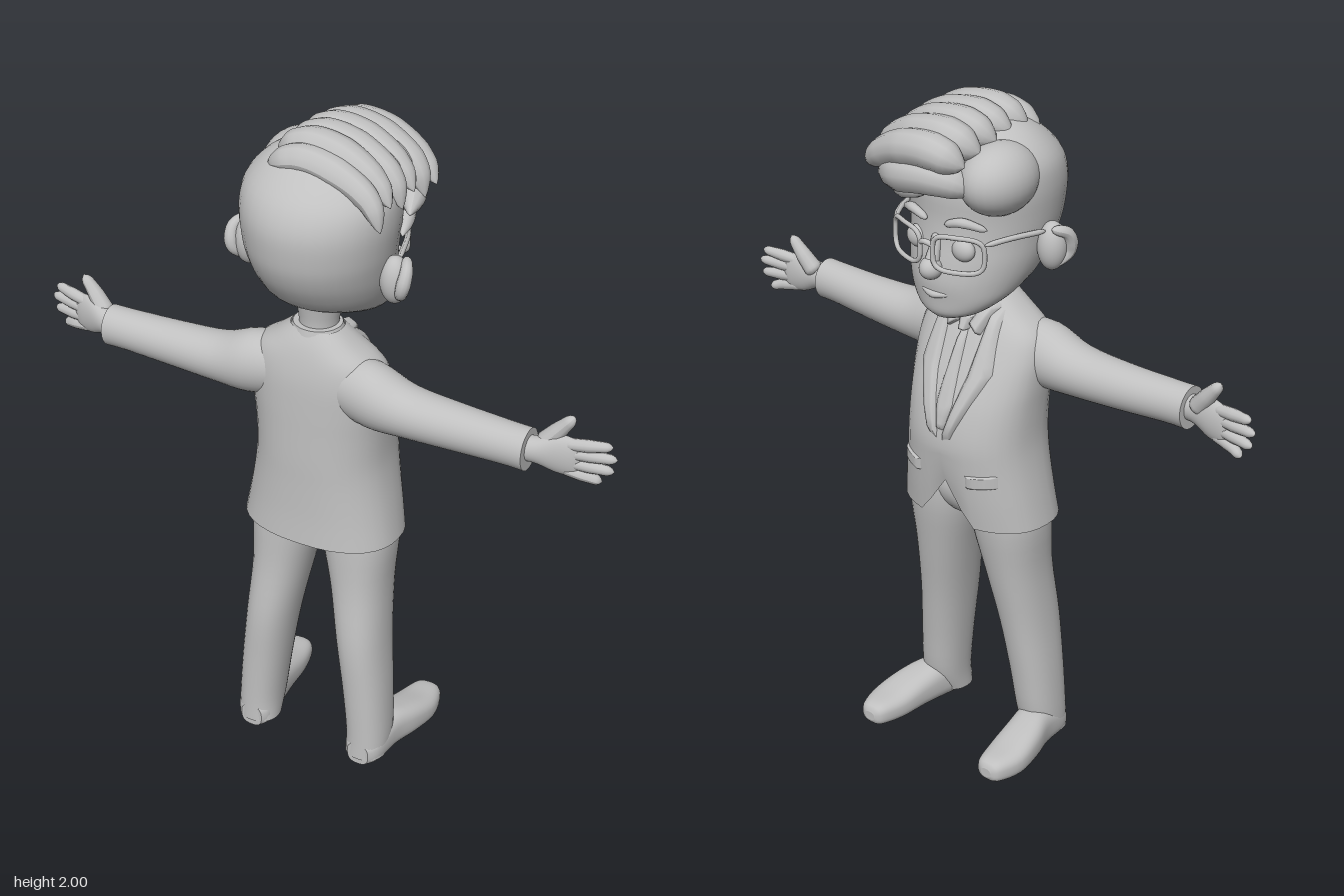
import * as THREE from 'three';

const grey = new THREE.MeshStandardMaterial({ color: 0xc0c0c0, side: THREE.DoubleSide });
grey.name = 'plain grey';

const named = (geo, name) => {
  const m = new THREE.Mesh(geo, grey);
  m.name = name;
  return m;
};

// Rounds off a list of cross-sections with extra in-between rows.
function refine(rows, n = 4) {
  const out = [];
  for (let i = 0; i < rows.length - 1; i++) {
    const p = [rows[Math.max(0, i - 1)], rows[i], rows[i + 1], rows[Math.min(rows.length - 1, i + 2)]];
    for (let k = 0; k < n; k++) {
      const t = k / n;
      out.push(rows[i].map((_, c) => {
        const [a, b, d, e] = p.map(r => r[c]);
        return b + 0.5 * t * (d - a + t * (2 * a - 5 * b + 4 * d - e + t * (3 * (b - d) + e - a)));
      }));
    }
  }
  out.push(rows[rows.length - 1]);
  return out;
}

function gridGeometry(pts, rows, cols, closed) {
  const index = [];
  const span = closed ? cols : cols - 1;
  for (let i = 0; i < rows - 1; i++) for (let j = 0; j < span; j++) {
    const a = i * cols + j, c = i * cols + (j + 1) % cols;
    index.push(a, a + cols, c, c, a + cols, c + cols);
  }
  const g = new THREE.BufferGeometry();
  g.setAttribute('position', new THREE.Float32BufferAttribute(pts.flat(), 3));
  g.setIndex(index);
  return g;
}

// Skin over superellipse rows [t, centreA, radiusA, centreB, radiusB] along an axis.
function loft(rows, axis = 'y', e = 1, capped = true) {
  const N = 36, pts = [];
  const rs = refine(rows);
  if (capped) {
    const a = rs[0], b = rs[rs.length - 1];
    rs.unshift([a[0], a[1], 0, a[3], 0], a);
    rs.push(b, [b[0], b[1], 0, b[3], 0]);
  }
  const pw = v => Math.sign(v) * Math.abs(v) ** e;
  for (const [t, ca, ra, cb, rb] of rs) for (let j = 0; j < N; j++) {
    const th = j / N * Math.PI * 2;
    const a = ca + ra * pw(Math.cos(th)), b = cb + rb * pw(Math.sin(th));
    pts.push(axis === 'y' ? [a, t, b] : axis === 'x' ? [t, b, a] : [b, a, t]);
  }
  const g = gridGeometry(pts, rs.length, N, true);
  g.computeVertexNormals();
  return g;
}

// Tapered tube for fingers, locks of hair and features; r is a list of radii.
function taper(points, r, seg = 20) {
  const curve = new THREE.CatmullRomCurve3(points.map(p => new THREE.Vector3(...p)));
  const g = new THREE.TubeGeometry(curve, seg, 1, 12, false);
  const pos = g.attributes.position, v = new THREE.Vector3();
  for (let i = 0; i < pos.count; i++) {
    const t = Math.floor(i / 13) / seg, c = curve.getPointAt(t);
    const f = t * (r.length - 1), k = Math.min(r.length - 2, Math.floor(f));
    const round = Math.min(1, Math.sqrt(Math.max(0, Math.min(t, 1 - t) * 8)));
    const rad = (r[k] + (r[k + 1] - r[k]) * (f - k)) * round;
    v.fromBufferAttribute(pos, i).sub(c).multiplyScalar(rad).add(c);
    pos.setXYZ(i, v.x, v.y, v.z);
  }
  g.computeVertexNormals();
  return g;
}

const blob = (x, y, z, rx, ry, rz) =>
  new THREE.SphereGeometry(1, 28, 20).scale(rx, ry, rz).translate(x, y, z);

// Rows given as [y, half width, front z, back z]
const rowsFrom = list => list.map(([y, w, f, b]) => [y, 0, w, (f + b) / 2, (b - f) / 2]);

const jacketRows = rowsFrom([
  [0.765, 0.24, -0.14, 0.185], [0.85, 0.225, -0.152, 0.18], [0.95, 0.208, -0.162, 0.178],
  [1.03, 0.2, -0.165, 0.178], [1.12, 0.202, -0.148, 0.176], [1.2, 0.208, -0.118, 0.174],
  [1.28, 0.21, -0.08, 0.17], [1.34, 0.19, -0.05, 0.16], [1.39, 0.125, -0.025, 0.145],
  [1.43, 0.075, 0, 0.125]]);
const E = 0.85;

function jacketFront(x, y) {
  let i = 0;
  while (i < jacketRows.length - 2 && jacketRows[i + 1][0] < y) i++;
  const p = jacketRows[i], q = jacketRows[i + 1];
  const t = (y - p[0]) / (q[0] - p[0]);
  const [, , w, c, d] = p.map((v, k) => v + (q[k] - v) * t);
  return c - d * Math.max(0, 1 - Math.min(1, Math.abs(x) / w) ** (2 / E)) ** (E / 2);
}

// Cloth plate lying on the jacket front between two (x, y) edges.
function plate(left, right, lift) {
  const R = 14, C = 6, pts = [];
  const at = (line, t) => {
    const f = t * (line.length - 1), k = Math.min(line.length - 2, Math.floor(f));
    return line[k].map((v, c) => v + (line[k + 1][c] - v) * (f - k));
  };
  for (let i = 0; i <= R; i++) for (let j = 0; j <= C; j++) {
    const a = at(left, i / R), b = at(right, i / R), u = j / C;
    const x = a[0] + (b[0] - a[0]) * u, y = a[1] + (b[1] - a[1]) * u;
    const edge = j === 0 || j === C || i === 0 || i === R ? -0.002 : lift;
    pts.push([x, y, jacketFront(x, y) - edge]);
  }
  const g = gridGeometry(pts, R + 1, C + 1, false);
  g.computeVertexNormals();
  return g;
}

// Everything that appears once on each side, made for +x
function makeSide() {
  const g = new THREE.Group();
  const add = (geo, name) => g.add(named(geo, name));
  add(loft([[0.025, 0.185, 0.062, 0.1, 0.06], [0.1, 0.185, 0.065, 0.08, 0.078], [0.25, 0.172, 0.069, 0.07, 0.088],
    [0.42, 0.152, 0.074, 0.058, 0.1], [0.6, 0.13, 0.087, 0.032, 0.107], [0.77, 0.113, 0.11, 0.015, 0.118],
    [0.9, 0.1, 0.1, 0.01, 0.11]], 'y', 0.9), 'trouserLeg');
  add(loft([[-0.233, 0.04, 0.014, 0.228, 0.018], [-0.215, 0.042, 0.034, 0.228, 0.043], [-0.14, 0.044, 0.044, 0.228, 0.064],
    [-0.05, 0.056, 0.055, 0.217, 0.064], [0.03, 0.062, 0.062, 0.2, 0.058], [0.12, 0.05, 0.05, 0.188, 0.058],
    [0.155, 0.04, 0.036, 0.185, 0.035]], 'z', 0.75), 'shoe');
  add(loft([[0.08, 0.075, 0.075, 1.275, 0.085], [0.19, 0.085, 0.084, 1.265, 0.096], [0.3, 0.087, 0.075, 1.247, 0.075],
    [0.45, 0.09, 0.066, 1.245, 0.066], [0.6, 0.096, 0.058, 1.248, 0.061], [0.665, 0.098, 0.055, 1.248, 0.062]], 'x'), 'sleeve');
  add(loft([[0.64, 0.098, 0.034, 1.25, 0.036], [0.69, 0.092, 0.032, 1.252, 0.04], [0.74, 0.08, 0.028, 1.25, 0.058],
    [0.785, 0.072, 0.02, 1.245, 0.056], [0.805, 0.068, 0.01, 1.243, 0.04]], 'x'), 'palm');
  const fingers = [[1.283, 1.297, 0.885], [1.258, 1.262, 0.9], [1.232, 1.223, 0.893], [1.208, 1.182, 0.86]];
  for (const [y0, y1, x] of fingers)
    add(taper([[0.75, y0, 0.078], [0.82, (y0 + y1) / 2, 0.066], [x, y1, 0.052]], [0.017, 0.018, 0.013]), 'finger');
  add(taper([[0.69, 1.26, 0.08], [0.735, 1.315, 0.07], [0.778, 1.366, 0.066]], [0.03, 0.024, 0.014]), 'thumb');

  // ear with a raised rim
  add(blob(0.226, 1.615, 0.045, 0.042, 0.07, 0.042), 'ear');
  add(taper([[0.235, 1.56, 0.03], [0.262, 1.6, 0.075], [0.268, 1.655, 0.06], [0.245, 1.675, 0.015]], [0.014, 0.02, 0.014]), 'earRim');

  // jacket front details
  add(plate([[0.004, 1.03], [0.05, 1.22], [0.07, 1.41]], [[0.035, 1.04], [0.125, 1.24], [0.1, 1.4]], 0.014), 'lapel');
  add(plate([[0.012, 1.36], [0.045, 1.425]], [[0.055, 1.33], [0.085, 1.41]], 0.022), 'shirtCollarPoint');
  add(plate([[0.08, 0.9], [0.08, 0.94]], [[0.17, 0.91], [0.17, 0.95]], 0.009), 'pocketFlap');

  // glasses: rounded rectangular rim and temple
  const rim = [];
  for (let i = 0; i < 20; i++) {
    const a = i / 20 * Math.PI * 2, p = v => Math.sign(v) * Math.abs(v) ** 0.55;
    const x = 0.09 + 0.068 * p(Math.cos(a));
    rim.push(new THREE.Vector3(x, 1.625 + 0.05 * p(Math.sin(a)), -0.212 + 2.2 * x * x));
  }
  add(new THREE.TubeGeometry(new THREE.CatmullRomCurve3(rim, true), 48, 0.007, 8, true), 'glassesRim');
  add(taper([[0.157, 1.66, -0.16], [0.19, 1.668, -0.09], [0.225, 1.665, 0.02]], [0.008, 0.008]), 'glassesTemple');
  add(blob(0.08, 1.625, -0.152, 0.036, 0.032, 0.024), 'eye');
  add(taper([[0.03, 1.692, -0.172], [0.085, 1.708, -0.165], [0.145, 1.69, -0.13]], [0.01, 0.014, 0.008]), 'eyebrow');
  return g;
}

export function createModel() {
  const model = new THREE.Group();
  const add = (geo, name) => model.add(named(geo, name));

  // jacket, with the front hem cut away in the middle
  const jacket = loft(jacketRows, 'y', E, false);
  const pos = jacket.attributes.position;
  for (let i = 0; i < pos.count; i++) {
    const x = Math.abs(pos.getX(i)), y = pos.getY(i);
    if (pos.getZ(i) < 0 && x < 0.09 && y < 1) pos.setY(i, y + (1 - y) * 0.55 * (1 - x / 0.09));
  }
  jacket.computeVertexNormals();
  add(jacket, 'jacket');
  add(blob(0, 0.84, 0.01, 0.19, 0.11, 0.115), 'hips');
  add(plate([[-0.012, 1.06], [-0.03, 1.14], [-0.012, 1.34]], [[0.012, 1.06], [0.03, 1.14], [0.012, 1.34]], 0.01), 'tie');
  add(plate([[-0.014, 1.335], [-0.024, 1.375]], [[0.014, 1.335], [0.024, 1.375]], 0.02), 'tieKnot');
  add(loft([[1.36, 0, 0.1, 0.06, 0.085], [1.41, 0, 0.08, 0.062, 0.072], [1.435, 0, 0.07, 0.062, 0.066]]), 'shirtCollar');
  add(loft([[1.38, 0, 0.062, 0.06, 0.06], [1.44, 0, 0.056, 0.055, 0.056], [1.53, 0, 0.075, 0.05, 0.075]]), 'neck');

  // head
  add(loft(rowsFrom([[1.41, 0.045, -0.16, -0.08], [1.43, 0.095, -0.176, -0.03], [1.47, 0.143, -0.182, 0.06],
    [1.52, 0.172, -0.188, 0.16], [1.58, 0.192, -0.182, 0.212], [1.64, 0.204, -0.172, 0.243], [1.7, 0.214, -0.168, 0.257],
    [1.78, 0.222, -0.17, 0.258], [1.85, 0.212, -0.15, 0.228], [1.91, 0.165, -0.1, 0.165],
    [1.945, 0.1, -0.04, 0.1], [1.955, 0.01, 0.02, 0.04]])), 'head');
  add(blob(0, 1.565, -0.193, 0.032, 0.032, 0.034), 'noseTip');
  add(taper([[0, 1.66, -0.16], [0, 1.61, -0.178], [0, 1.565, -0.195]], [0.016, 0.018, 0.024]), 'noseBridge');
  add(taper([[-0.05, 1.492, -0.172], [0, 1.486, -0.186], [0.05, 1.492, -0.172]], [0.006, 0.01, 0.006]), 'mouth');
  add(taper([[-0.026, 1.64, -0.208], [0, 1.648, -0.214], [0.026, 1.64, -0.208]], [0.008, 0.008]), 'glassesBridge');

  // hair: swept side puff, then locks running from the parting across the crown
  add(blob(-0.135, 1.82, -0.07, 0.097, 0.1, 0.125), 'sideHair');
  add(blob(0.045, 1.87, -0.06, 0.16, 0.09, 0.17), 'topHair');
  const locks = [[-0.205, 1.9, 0.052], [-0.14, 1.92, 0.055], [-0.075, 1.935, 0.052],
    [-0.01, 1.942, 0.05], [0.055, 1.943, 0.052], [0.11, 1.925, 0.045]];
  locks.forEach(([z, y, r], i) => {
    const drop = i % 2 ? 0.03 : 0;
    add(taper([[-0.12, y - 0.02, z + 0.01], [-0.02, y + 0.008, z - 0.005], [0.1, y - 0.012, z],
      [0.19, y - 0.06, z + 0.012], [0.232, y - 0.1 - drop, z + 0.03]], [r * 0.75, r, r, r * 0.8, 0.018], 28), 'hairLock');
  });
  add(taper([[-0.13, 1.8, -0.15], [-0.03, 1.835, -0.205], [0.09, 1.82, -0.2], [0.18, 1.79, -0.13], [0.228, 1.77, -0.03]],
    [0.03, 0.05, 0.055, 0.045, 0.015], 28), 'fringe');
  add(taper([[0.02, 1.78, -0.175], [0.11, 1.765, -0.165], [0.19, 1.745, -0.08], [0.222, 1.72, 0]],
    [0.02, 0.035, 0.03, 0.01], 28), 'lowerFringe');

  const left = makeSide();
  left.name = 'leftSide';
  const right = makeSide();
  right.name = 'rightSide';
  right.scale.x = -1;
  model.add(left, right);
  return model;
}
